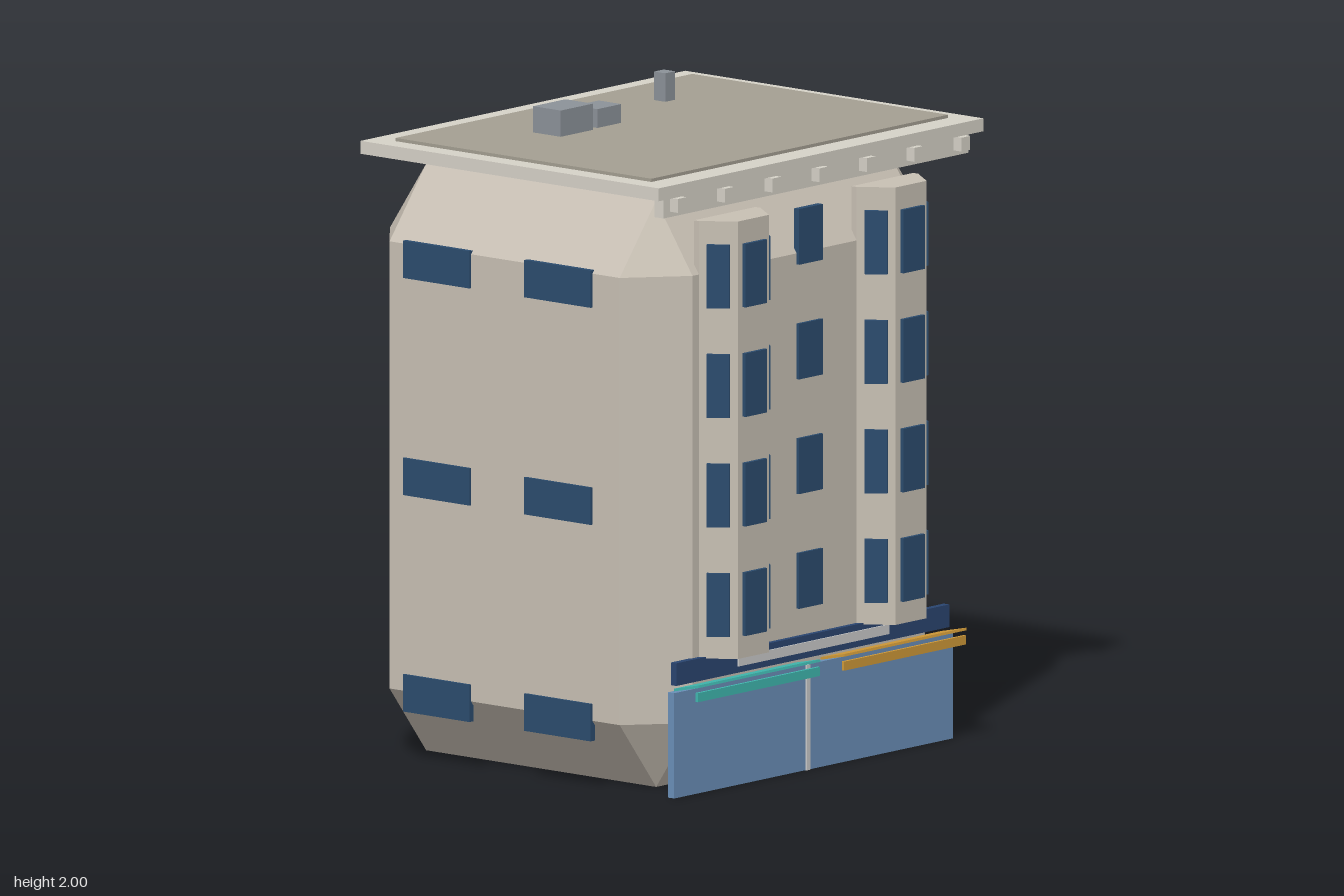
import * as THREE from 'three';
import { ConvexGeometry } from 'three/addons/geometries/ConvexGeometry.js';

const mat = (color) => new THREE.MeshStandardMaterial({ color, flatShading: true });

export function createModel() {
  const model = new THREE.Group();
  model.name = 'apartmentBuilding';

  const wall = mat(0xc8c0b4), trim = mat(0xd6d2c8), roofing = mat(0xa49f92);
  const pane = mat(0x2c4c6e), glass = mat(0x6a8fb8), metal = mat(0x8c9299);
  const navy = mat(0x2a4570), white = mat(0xe0e0e0), teal = mat(0x40b8b0), amber = mat(0xd09a38);

  const add = (name, geometry, material, parent = model) => {
    const mesh = new THREE.Mesh(geometry, material);
    mesh.name = name;
    parent.add(mesh);
    return mesh;
  };
  // box given by its low and high limits on each axis
  const box = (name, material, [x0, x1], [y0, y1], [z0, z1], parent) => {
    const mesh = add(name, new THREE.BoxGeometry(x1 - x0, y1 - y0, z1 - z0), material, parent);
    mesh.position.set((x0 + x1) / 2, (y0 + y1) / 2, (z0 + z1) / 2);
    return mesh;
  };

  // main block: box with wide chamfers on every edge
  const half = [0.71, 0.905, 0.605], inner = [0.54, 0.69, 0.46];
  const corners = [];
  for (const sx of [-1, 1]) for (const sy of [-1, 1]) for (const sz of [-1, 1]) {
    for (let axis = 0; axis < 3; axis++) {
      const p = inner.map((v, i) => (i === axis ? half[i] : v));
      corners.push(new THREE.Vector3(sx * p[0], sy * p[1] + 0.905, sz * p[2] - 0.055));
    }
  }
  add('mainBlock', new ConvexGeometry(corners), wall);

  // bay windows: trapezoid towers with panes on three faces
  const plan = new THREE.Shape([[-0.143, -0.53], [-0.143, -0.55], [-0.072, -0.645], [0.072, -0.645],
    [0.143, -0.55], [0.143, -0.53]].map(([x, y]) => new THREE.Vector2(x, y)));
  const bayGeometry = new THREE.ExtrudeGeometry(plan, { depth: 1.35, bevelEnabled: false });
  bayGeometry.rotateX(-Math.PI / 2).translate(0, 0.41, 0);
  for (const side of [-1, 1]) {
    const bay = new THREE.Group();
    bay.name = side < 0 ? 'rightBay' : 'leftBay';
    bay.position.x = side * 0.367;
    model.add(bay);
    add('bayTower', bayGeometry, wall, bay);
    for (let row = 0; row < 4; row++) {
      const y = 0.577 + row * 0.338;
      box('bayFrontWindow', pane, [-0.05, 0.05], [y - 0.098, y + 0.098], [0.635, 0.657], bay);
      for (const s of [-1, 1]) {
        const w = add('baySideWindow', new THREE.BoxGeometry(0.07, 0.196, 0.02), pane, bay);
        w.position.set(s * 0.108, y, 0.598);
        w.rotation.y = s * Math.atan2(0.095, 0.071);
      }
    }
  }

  // centre column of windows
  for (let row = 0; row < 4; row++) {
    const y = 0.585 + row * 0.354;
    box('centreWindow', pane, [-0.055, 0.055], [y - 0.086, y + 0.086], [0.54, 0.56]);
  }

  // side windows
  for (const s of [-1, 1]) for (const y of [0.21, 0.878, 1.548]) for (const z of [0.163, -0.322]) {
    const w = add('sideWindow', new THREE.BoxGeometry(0.02, 0.115, 0.266), pane);
    w.position.set(s * 0.708, y, z);
  }

  // shop front
  box('shopGlass', glass, [-0.648, 0.648], [0, 0.325], [0.545, 0.57]);
  box('shopMullion', white, [-0.038, -0.022], [0, 0.325], [0.56, 0.576]);
  box('signBoard', navy, [-0.635, 0.635], [0.345, 0.415], [0.545, 0.567]);
  box('signStrip', white, [-0.35, 0.35], [0.365, 0.395], [0.56, 0.572]);
  for (const [x0, x1, colour] of [[-0.625, -0.058, teal], [0.055, 0.622, amber]]) {
    const canopy = add('awningCanopy', new THREE.BoxGeometry(x1 - x0, 0.008, 0.1), colour);
    canopy.position.set((x0 + x1) / 2, 0.34, 0.598);
    canopy.rotation.x = -0.22;
    box('awningValance', colour, [x0, x1], [0.303, 0.331], [0.636, 0.645]);
  }

  // cornice with brackets under the roof edge
  box('corniceBeam', trim, [-0.71, 0.71], [1.8, 1.86], [0.545, 0.58]);
  for (let i = -3; i <= 3; i++) {
    const x = i * 0.22;
    box('corniceBracket', trim, [x - 0.02, x + 0.02], [1.817, 1.86], [0.575, 0.612]);
  }

  // roof slab, covering and rooftop equipment
  box('roofSlab', trim, [-0.755, 0.755], [1.862, 1.902], [-0.592, 0.6]);
  box('roofCovering', roofing, [-0.69, 0.69], [1.9, 1.912], [-0.508, 0.515]);
  box('largeRoofUnit', metal, [-0.35, -0.2], [1.91, 1.993], [-0.25, -0.14]);
  box('smallRoofUnit', metal, [-0.168, -0.057], [1.91, 1.97], [-0.24, -0.15]);
  box('roofVent', metal, [0.29, 0.335], [1.91, 2.0], [-0.317, -0.272]);

  return model;
}
